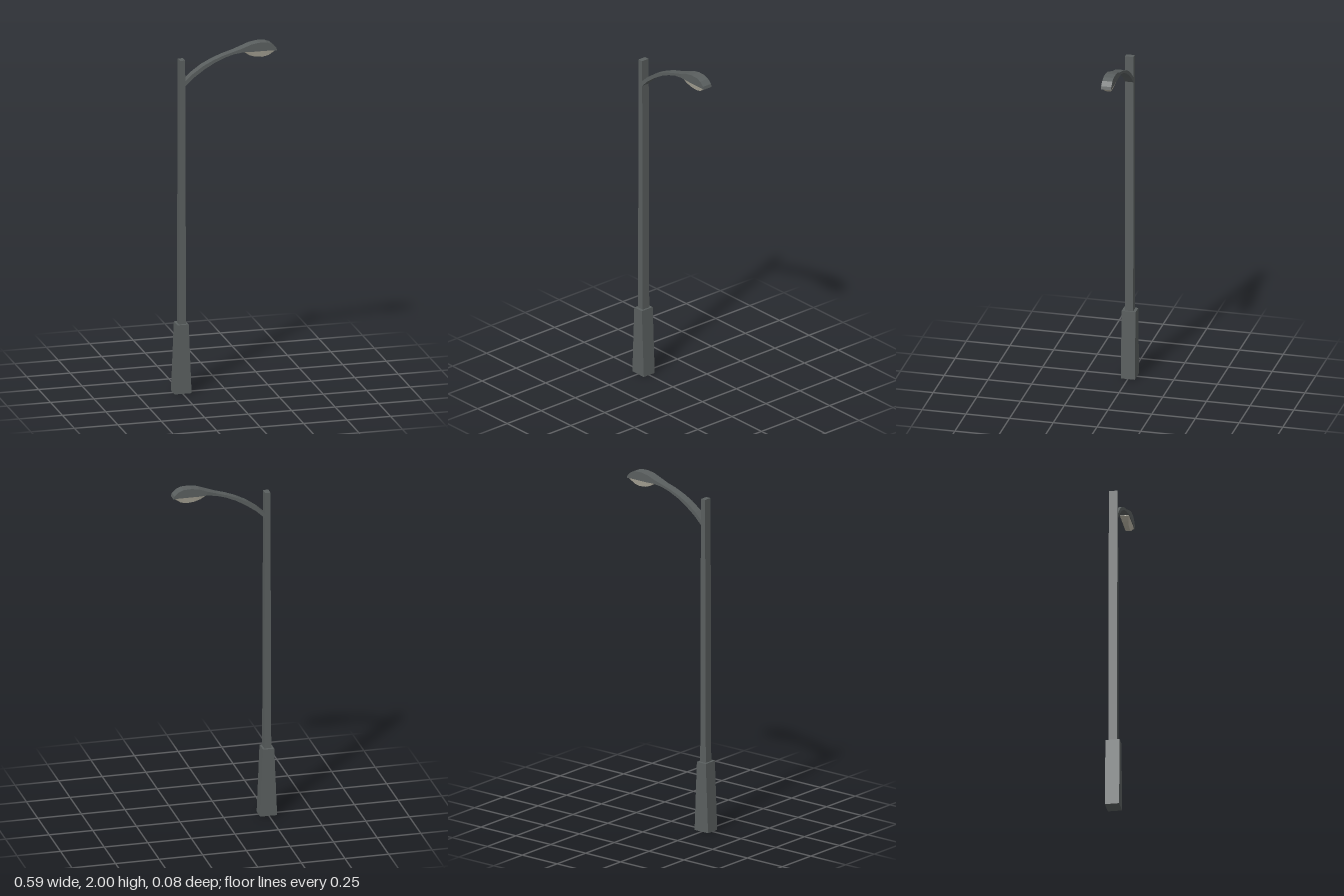
import * as THREE from 'three';

const metal = new THREE.MeshStandardMaterial({ color: 0x5a5f5f, flatShading: true });
const glass = new THREE.MeshStandardMaterial({ color: 0xb8b4a5, flatShading: true });

// Square post whose width in x narrows towards the top
function taperedPost(name, x, y0, y1, bottomW, topW, depth) {
  const geo = new THREE.BoxGeometry(1, y1 - y0, depth);
  const p = geo.attributes.position;
  for (let i = 0; i < p.count; i++) {
    p.setX(i, p.getX(i) * (p.getY(i) > 0 ? topW : bottomW));
  }
  geo.translate(x, (y0 + y1) / 2, 0);
  geo.computeVertexNormals();
  const mesh = new THREE.Mesh(geo, metal);
  mesh.name = name;
  return mesh;
}

// Loft of four-cornered sections: [topX, topY, topHalfZ, bottomX, bottomY, bottomHalfZ]
function loft(name, sections, material) {
  const rings = sections.map(([tx, ty, tz, bx, by, bz]) => [
    [tx, ty, tz], [bx, by, bz], [bx, by, -bz], [tx, ty, -tz],
  ]);
  const pos = [];
  const quad = (a, b, c, d) => pos.push(...a, ...b, ...c, ...a, ...c, ...d);
  for (let i = 0; i < rings.length - 1; i++) {
    const a = rings[i], b = rings[i + 1];
    for (let j = 0; j < 4; j++) {
      const k = (j + 1) % 4;
      quad(a[j], a[k], b[k], b[j]);
    }
  }
  const s = rings[0], e = rings[rings.length - 1];
  quad(s[0], s[3], s[2], s[1]);
  quad(e[0], e[1], e[2], e[3]);
  const geo = new THREE.BufferGeometry();
  geo.setAttribute('position', new THREE.Float32BufferAttribute(pos, 3));
  geo.computeVertexNormals();
  const mesh = new THREE.Mesh(geo, material);
  mesh.name = name;
  return mesh;
}

export function createModel() {
  const group = new THREE.Group();
  group.name = 'streetLamp';

  group.add(taperedPost('base', -0.248, 0, 0.4, 0.097, 0.064, 0.08));
  group.add(taperedPost('pole', -0.247, 0.4, 1.93, 0.04, 0.03, 0.048));

  // Curved arm swelling into the lamp housing
  const w = 0.024, h = 0.029;
  group.add(loft('armAndHousing', [
    [-0.24, 1.8, w, -0.24, 1.77, w],
    [-0.19, 1.846, w, -0.183, 1.825, w],
    [-0.13, 1.888, w, -0.122, 1.868, w],
    [-0.07, 1.918, w, -0.064, 1.902, w],
    [-0.01, 1.941, w, -0.006, 1.927, w],
    [0.045, 1.957, w, 0.048, 1.943, w],
    [0.1, 1.975, h, 0.105, 1.952, h],
    [0.145, 1.992, h, 0.145, 1.95, h],
    [0.19, 2.0, h, 0.19, 1.95, h],
    [0.237, 1.998, h, 0.237, 1.95, h],
    [0.265, 1.987, h, 0.265, 1.95, h],
    [0.29, 1.965, h, 0.295, 1.948, h],
  ], metal));

  // Faceted lens bulging below the housing
  const lens = [
    [0.11, 1.948, 0.022], [0.14, 1.928, 0.017], [0.175, 1.916, 0.014],
    [0.215, 1.912, 0.013], [0.25, 1.92, 0.015], [0.285, 1.946, 0.022],
  ].map(([x, y, z]) => [x, 1.953, 0.026, x, y, z]);
  group.add(loft('lens', lens, glass));

  return group;
}
